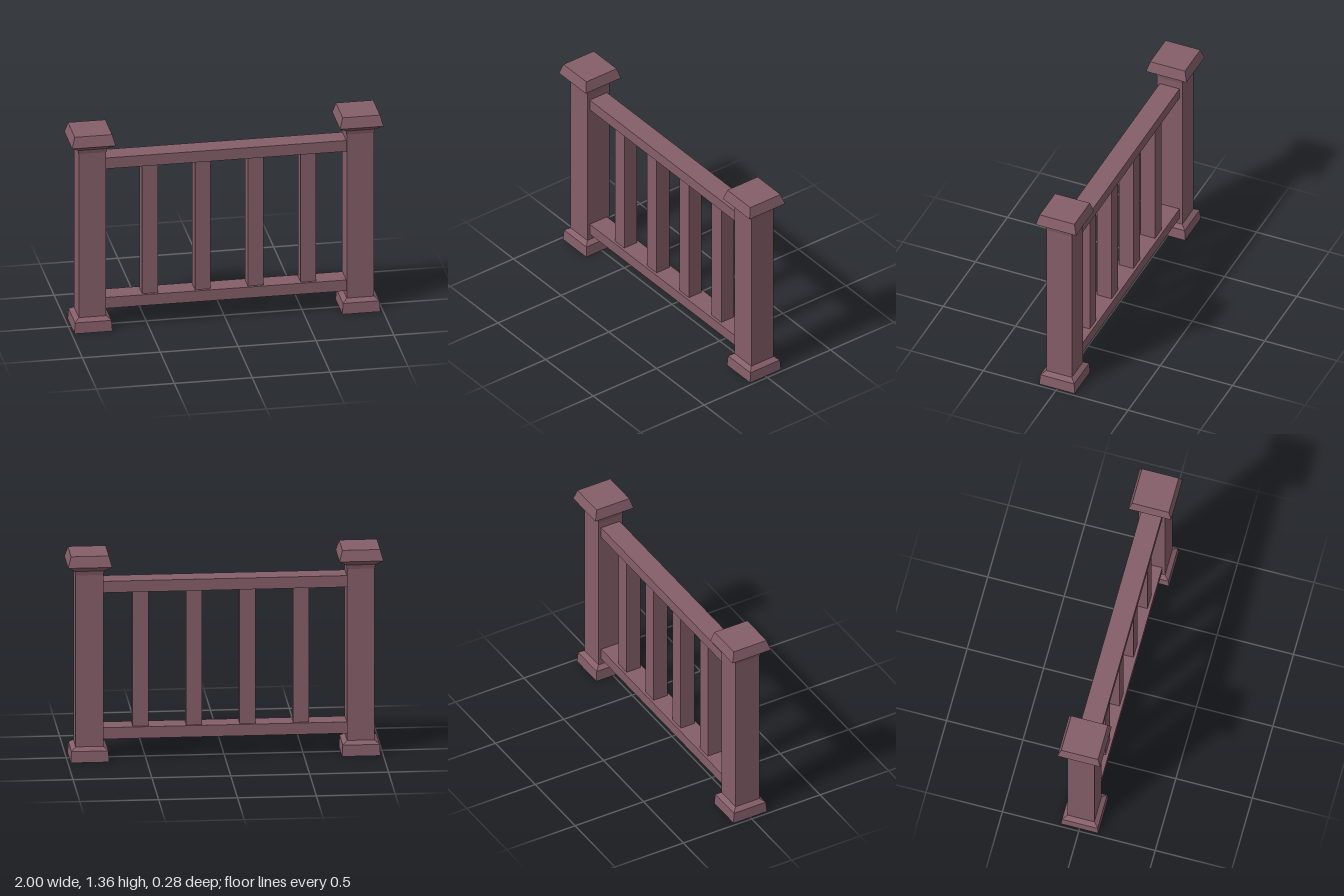
import * as THREE from 'three';

export function createModel() {
  const model = new THREE.Group();
  model.name = 'railing';

  const paintedWood = new THREE.MeshStandardMaterial({ color: 0x855e69, flatShading: true });
  paintedWood.name = 'mauve painted wood';

  const add = (name, geometry, x, y) => {
    const mesh = new THREE.Mesh(geometry, paintedWood);
    mesh.name = name;
    mesh.position.set(x, y, 0);
    model.add(mesh);
  };

  // Square turning: each profile entry is [half width, height]
  const squareLathe = (profile) => new THREE.LatheGeometry(
    profile.map(([half, y]) => new THREE.Vector2(half * Math.SQRT2, y)), 4, Math.PI / 4);

  const postProfile = [
    [0, 0], [0.122, 0], [0.117, 0.073], [0.0875, 0.095], // plinth
    [0.0875, 1.222], [0.094, 1.25],                      // shaft and neck
    [0.14, 1.285], [0.12, 1.355], [0, 1.355],            // cap
  ];

  // Posts at both ends
  for (const [name, x] of [['leftPost', 0.86], ['rightPost', -0.86]]) {
    add(name, squareLathe(postProfile), x, 0);
  }

  // Horizontal rails between the posts
  for (const [name, y] of [['bottomRail', 0.174], ['topRail', 1.136]]) {
    add(name, new THREE.BoxGeometry(1.555, 0.075, 0.136), 0, y);
  }

  // Balusters, evenly spaced and set slightly to the left
  for (let i = 0; i < 4; i++) {
    add(`baluster${i + 1}`, new THREE.BoxGeometry(0.1, 0.888, 0.1), -0.484 + i * 0.339, 0.655);
  }

  return model;
}
